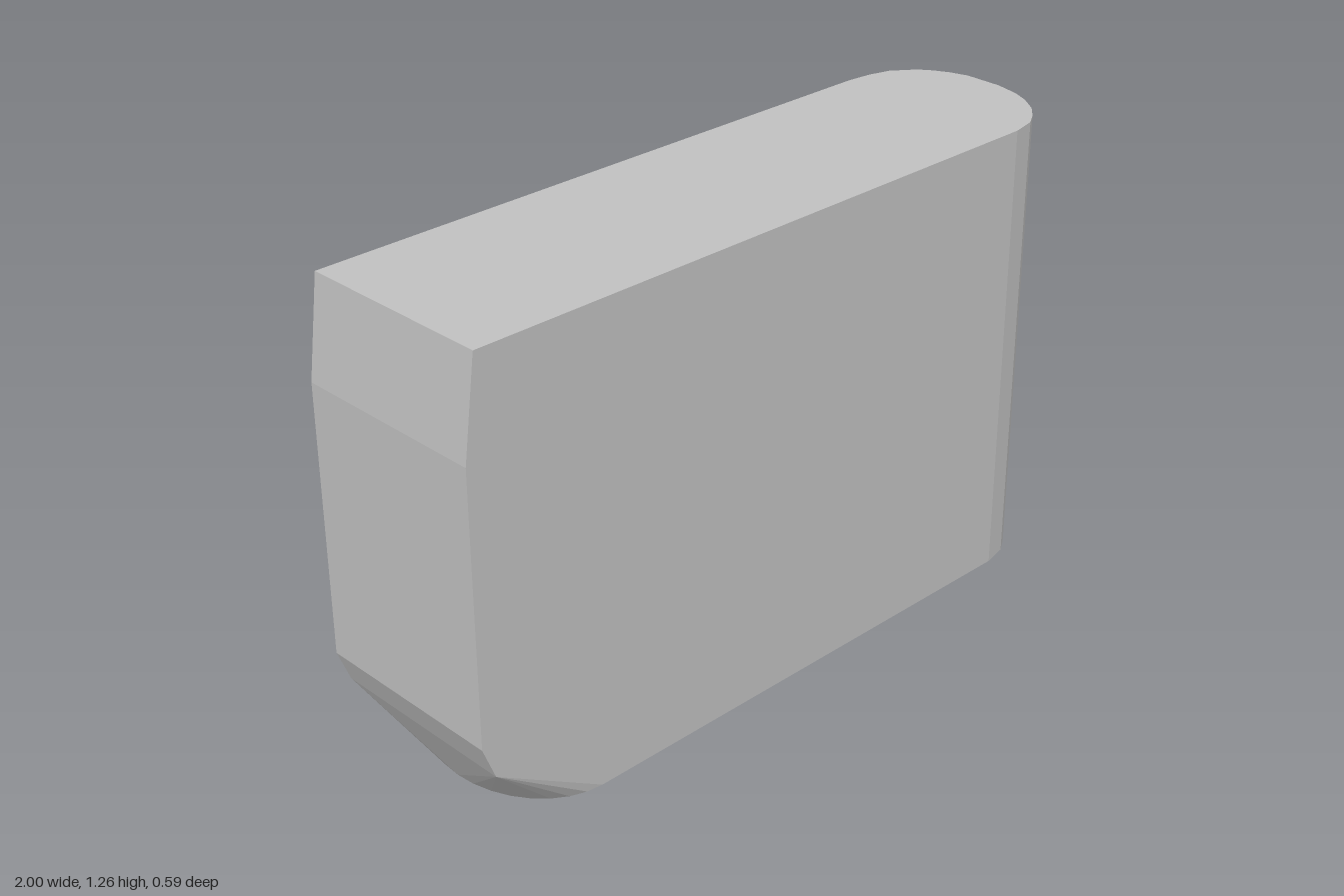
import * as THREE from 'three';
import { ConvexGeometry } from 'three/addons/geometries/ConvexGeometry.js';

export function createModel() {
  const group = new THREE.Group();
  const grey = new THREE.MeshStandardMaterial({ color: 0xc0c0c0 });
  grey.name = 'plain grey';
  const H = 1.26;
  const points = [];
  const add = (x, y, z) => points.push(new THREE.Vector3(x, y, z));

  // Rounded end, full height
  const nose = [
    [0.78, 0.295], [0.85, 0.28], [0.89, 0.255], [0.93, 0.22], [0.965, 0.17], [0.985, 0.125],
    [1, 0.055], [1, -0.05], [0.985, -0.1], [0.965, -0.14], [0.94, -0.175],
  ];
  for (const [x, z] of nose) for (const y of [0, H]) add(x, y, z);

  // Back corner: inset rim at top and bottom, bulging out between the chamfers
  for (const [x, z] of [[0.88, -0.22], [0.82, -0.237], [0.75, -0.245]])
    for (const y of [0, H]) add(x, y, z);
  for (const [x, z] of [[0.9, -0.22], [0.85, -0.26], [0.79, -0.285], [0.7, -0.295]])
    for (const y of [0.09, 1.18]) add(x, y, z);

  // Square end, slightly tapered towards the top and bottom
  for (const [x, y] of [[-0.965, H], [-1, 1], [-1, 0.28], [-0.965, 0.19]])
    for (const z of [-0.245, 0.295]) add(x, y, z);

  // Rounded end of the base
  for (let i = 0; i <= 16; i++) {
    const a = (i / 16) * Math.PI;
    add(-0.65 - 0.22 * Math.sin(a), 0, 0.025 + 0.27 * Math.cos(a));
  }

  const body = new THREE.Mesh(new ConvexGeometry(points), grey);
  body.name = 'body';
  group.add(body);
  return group;
}
